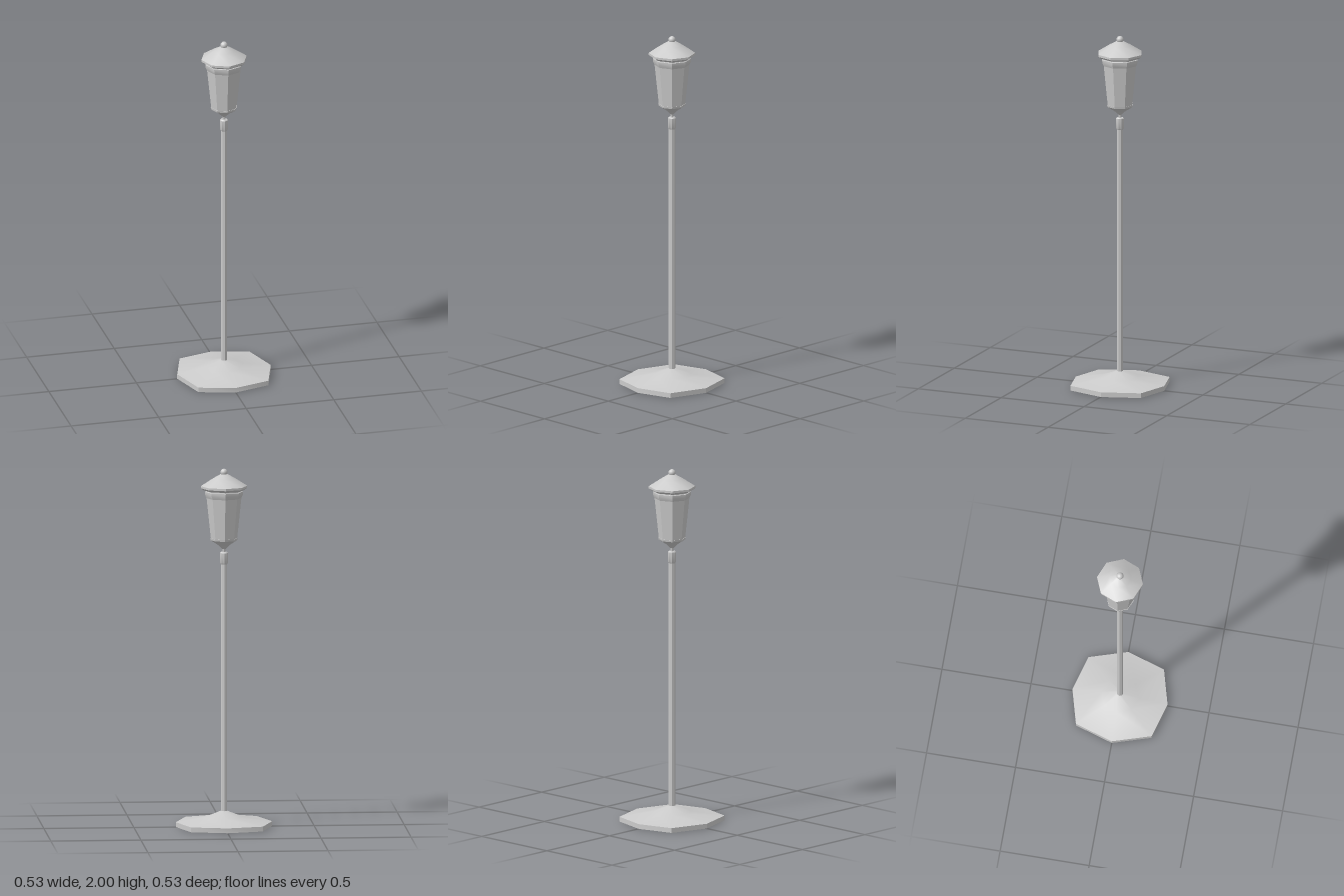
import * as THREE from 'three';
import { toCreasedNormals } from 'three/addons/utils/BufferGeometryUtils.js';

const material = new THREE.MeshStandardMaterial({ color: 0xcccccc });

// Turned part from [radius, y] pairs listed bottom to top, corners on the axes
function turned(name, profile, adjust, sides = 8) {
  const points = profile.map(([r, y]) => new THREE.Vector2(r, y));
  const geometry = new THREE.LatheGeometry(points, sides);
  if (adjust) adjust(geometry.attributes.position);
  const mesh = new THREE.Mesh(toCreasedNormals(geometry, 0.6), material);
  mesh.name = name;
  return mesh;
}

// Push the diagonal corners of the foot outwards, giving its uneven octagon
function stretchCorners(position) {
  for (let i = 0; i < position.count; i++) {
    const x = position.getX(i), z = position.getZ(i);
    if (Math.hypot(x, z) > 0.2 && Math.abs(x * z) > 0.01) {
      position.setX(i, x * 1.057);
      position.setZ(i, z * 1.125);
    }
  }
}

export function createModel() {
  const model = new THREE.Group();
  model.name = 'streetLamp';

  // Foot and post
  model.add(turned('base', [[0, 0], [0.267, 0], [0.267, 0.027], [0.106, 0.055], [0.02, 0.088], [0, 0.088]], stretchCorners));
  model.add(turned('pole', [[0.018, 0.07], [0.018, 1.48]]));
  model.add(turned('collar', [[0.018, 1.467], [0.023, 1.475], [0.023, 1.53], [0.018, 1.535], [0, 1.535]]));
  model.add(turned('neck', [[0.009, 1.53], [0.008, 1.545], [0.012, 1.56]]));

  // Lantern
  const lantern = new THREE.Group();
  lantern.name = 'lantern';
  lantern.add(turned('lanternCup', [[0, 1.552], [0.012, 1.553], [0.03, 1.572], [0.074, 1.601], [0.076, 1.612], [0, 1.612]]));
  lantern.add(turned('glassPanels', [[0.073, 1.61], [0.097, 1.84]]));
  lantern.add(turned('upperBand', [[0.096, 1.835], [0.105, 1.855], [0.106, 1.872], [0.1, 1.874], [0.1, 1.888]]));
  lantern.add(turned('roof', [[0, 1.88], [0.112, 1.88], [0.129, 1.892], [0.129, 1.904], [0.06, 1.948], [0.02, 1.97], [0, 1.974]]));

  // Ball on top
  const finial = new THREE.Mesh(new THREE.SphereGeometry(0.02, 16, 12), material);
  finial.name = 'finial';
  finial.position.y = 1.98;
  lantern.add(finial);
  model.add(lantern);
  return model;
}
